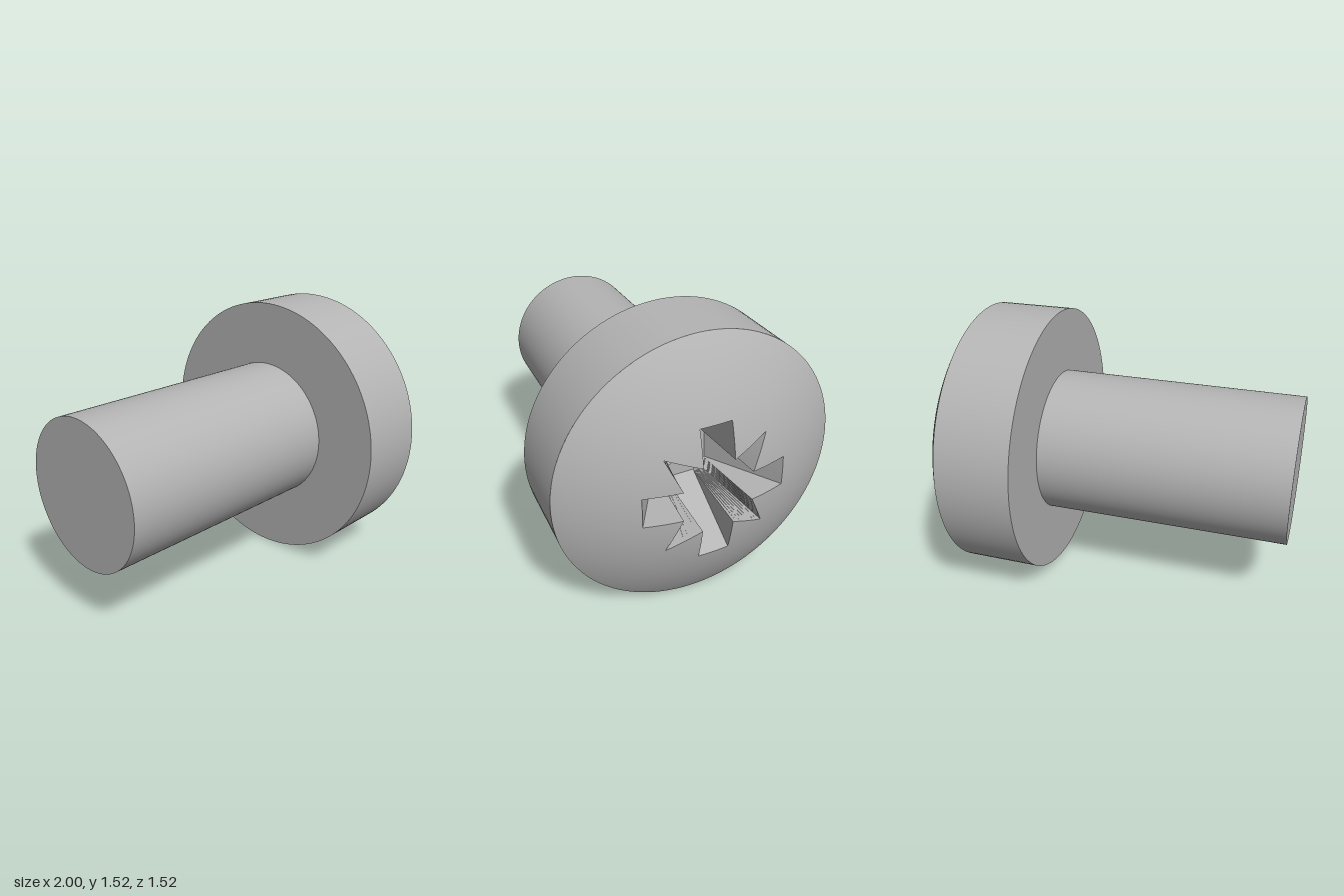
import * as THREE from 'three';

// Built along +z (the screw axis), then turned so the head faces +x.
const SHANK_R = 0.405, HEAD_R = 0.76, TAIL = -1, HEAD_BACK = 0.36, HEAD_EDGE = 0.78;
const APEX = 1.016, FLOOR = 0.58, PIT = 0.5;
const RISE = APEX - HEAD_EDGE;
const DOME_R = (HEAD_R ** 2 + RISE ** 2) / (2 * RISE);
const domeZ = (x, y) => APEX - DOME_R + Math.sqrt(DOME_R ** 2 - x * x - y * y);

// Repeat a quarter outline four times around the axis
function fourfold(quarter) {
  const out = [];
  for (let k = 0; k < 4; k++) {
    for (const [x, y] of quarter) {
      out.push(new THREE.Vector2(x, y).rotateAround(new THREE.Vector2(), k * Math.PI / 2));
    }
  }
  return out;
}

// Split every edge of a closed outline into n pieces
function subdivide(points, n) {
  return points.flatMap((p, i) => {
    const q = points[(i + 1) % points.length];
    return Array.from({ length: n }, (_, j) => p.clone().lerp(q, j / n));
  });
}

// Skin between closed loops, listed from the innermost to the outermost
function skin(loops) {
  const pos = [], n = loops[0].length;
  const tri = (a, b, c) => {
    const area = b.clone().sub(a).cross(c.clone().sub(a)).length();
    if (area > 1e-9) for (const p of [a, b, c]) pos.push(p.x, p.y, p.z);
  };
  for (let k = 0; k + 1 < loops.length; k++) {
    for (let i = 0; i < n; i++) {
      const j = (i + 1) % n, a = loops[k], b = loops[k + 1];
      tri(a[i], b[i], b[j]);
      tri(a[i], b[j], a[j]);
    }
  }
  const g = new THREE.BufferGeometry();
  g.setAttribute('position', new THREE.Float32BufferAttribute(pos, 3));
  g.computeVertexNormals();
  return g;
}

export function createModel() {
  const steel = new THREE.MeshStandardMaterial({ color: 0xb4b4b4 });
  steel.name = 'steel';

  const model = new THREE.Group();
  model.name = 'crossRecessScrew';
  const screw = new THREE.Group();
  screw.name = 'screw';
  screw.rotation.y = Math.PI / 2;
  screw.position.y = HEAD_R;
  model.add(screw);

  const add = (name, geometry, parent = screw) => {
    const mesh = new THREE.Mesh(geometry, steel);
    mesh.name = name;
    parent.add(mesh);
    return mesh;
  };
  const rod = (r, z0, z1, open) => new THREE.CylinderGeometry(r, r, z1 - z0, 128, 1, open)
    .rotateX(Math.PI / 2).translate(0, 0, (z0 + z1) / 2);

  // Shank, head side and the flat underside of the head
  add('shank', rod(SHANK_R, TAIL, HEAD_BACK, false));
  add('headSide', rod(HEAD_R, HEAD_BACK, HEAD_EDGE, true));
  add('headUnderside', new THREE.RingGeometry(SHANK_R, HEAD_R, 128)
    .rotateX(Math.PI).translate(0, 0, HEAD_BACK));

  // Domed top and recess share one slightly twisted outline
  const top = new THREE.Group();
  top.name = 'headTop';
  top.rotation.z = 0.04;
  screw.add(top);

  // Recess outline: a broad arm, then a sharp notch on the diagonal
  const w = 0.083, arm = 0.378, inner = 0.185, core = 0.147, tip = 0.266, mid = 0.107;
  const rimCorners = fourfold([[arm, -w], [arm, w], [inner, w], [tip, tip], [w, inner]]);
  const floorCorners = fourfold([[core, -w], [core, w], [core, w], [mid, mid], [w, core]]);
  const rim = subdivide(rimCorners, 8);

  // Dome: spread the recess rim radially out to the head edge
  const steps = 10;
  const domeLoops = Array.from({ length: steps + 1 }, (_, k) => rim.map((p) => {
    const r = THREE.MathUtils.lerp(p.length(), HEAD_R, k / steps);
    const q = p.clone().setLength(r);
    return new THREE.Vector3(q.x, q.y, domeZ(q.x, q.y));
  }));
  const dome = skin(domeLoops);
  const pos = dome.attributes.position, nor = dome.attributes.normal;
  const n = new THREE.Vector3();
  for (let i = 0; i < pos.count; i++) {
    n.fromBufferAttribute(pos, i);
    n.z -= APEX - DOME_R;
    n.normalize();
    nor.setXYZ(i, n.x, n.y, n.z);
  }
  add('dome', dome, top);

  // Recess walls slope from the rim to the floor
  const floorLoop = subdivide(floorCorners, 8).map((p) => new THREE.Vector3(p.x, p.y, FLOOR));
  add('recessWalls', skin([floorLoop, domeLoops[0]]), top);

  // Floor with a four-pointed pit in its middle
  const star = fourfold([[0.042, 0], [0.09, 0.09]]);
  const floor = new THREE.Shape(floorCorners.filter((p, i) => i % 5 !== 2));
  floor.holes.push(new THREE.Path(star));
  add('recessFloor', new THREE.ShapeGeometry(floor).translate(0, 0, FLOOR), top);
  add('centrePit', skin([
    star.map(() => new THREE.Vector3(0, 0, PIT)),
    star.map((p) => new THREE.Vector3(p.x, p.y, FLOOR)),
  ]), top);

  return model;
}
